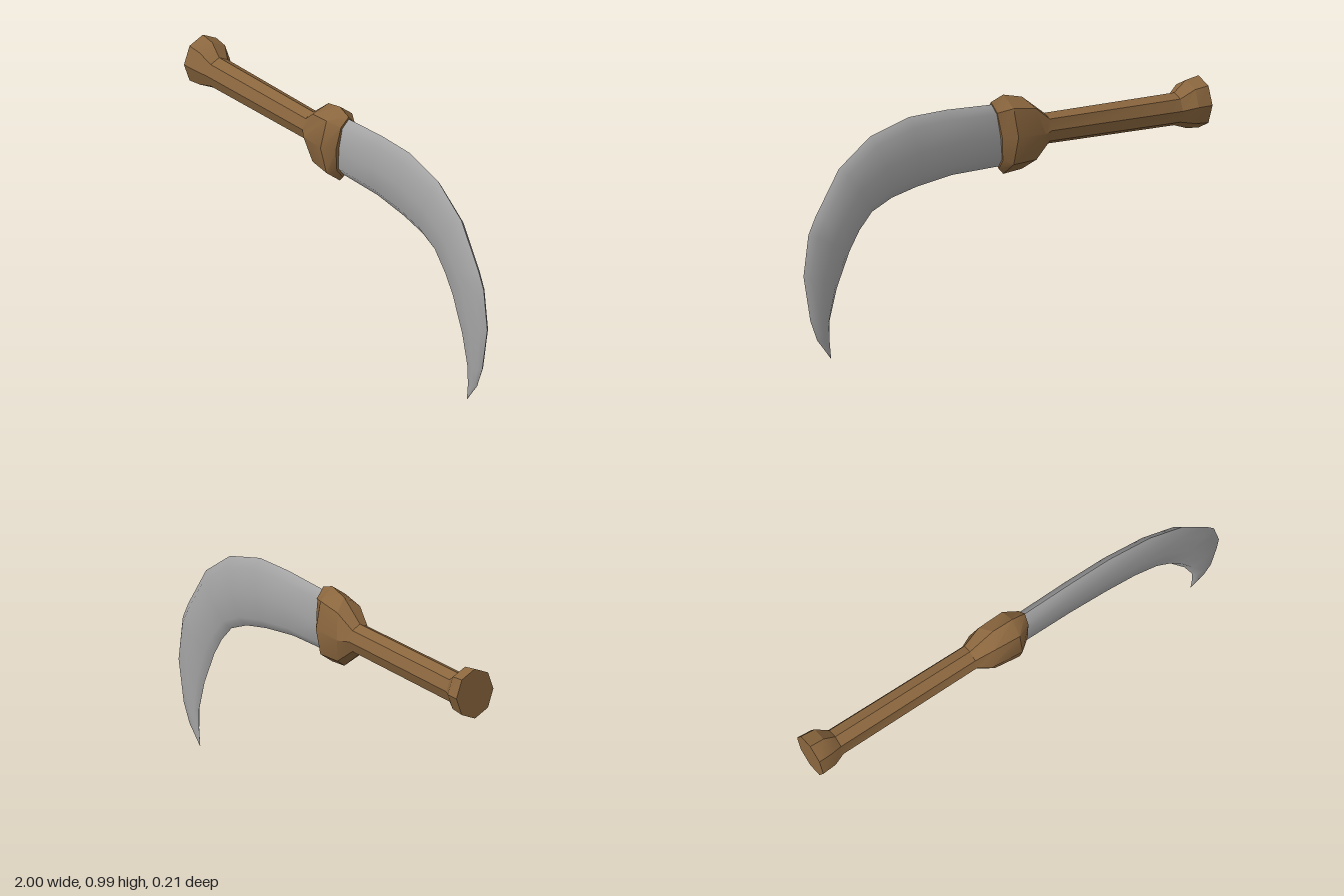
import * as THREE from 'three';
import { toCreasedNormals } from 'three/addons/utils/BufferGeometryUtils.js';

// Skin a list of rings (each running from +y towards +z, stepping along +x)
function loft(rings, closed) {
  const n = rings[0].length, pos = [], index = [];
  for (const ring of rings) for (const p of ring) pos.push(...p);
  const cols = closed ? n : n - 1;
  for (let i = 0; i < rings.length - 1; i++) {
    for (let j = 0; j < cols; j++) {
      const k = (j + 1) % n;
      const a = i * n + j, b = i * n + k, c = a + n, d = b + n;
      index.push(a, b, c, b, d, c);
    }
  }
  if (closed) {
    // flat end caps
    const e = (rings.length - 1) * n;
    for (let j = 1; j < n - 1; j++) {
      index.push(0, j + 1, j);
      index.push(e, e + j, e + j + 1);
    }
  }
  const g = new THREE.BufferGeometry();
  g.setAttribute('position', new THREE.Float32BufferAttribute(pos, 3));
  g.setIndex(index);
  return g;
}

// Eight-sided ring; tilt leans it, bow shifts its side corners along x
function octagon([x, cy, ry, cz, rz, tilt = 0, bow = 0]) {
  return Array.from({ length: 8 }, (_, k) => {
    const a = (k * Math.PI) / 4, c = Math.cos(a), s = Math.sin(a);
    return [x + tilt * c + bow * s * s, cy + ry * c, cz + rz * s];
  });
}

export function createModel() {
  const group = new THREE.Group();
  const wood = new THREE.MeshStandardMaterial({ color: 0x8a663e });
  wood.name = 'brown wood';
  const steel = new THREE.MeshStandardMaterial({ color: 0xa6a6a6 });
  steel.name = 'grey steel';

  const add = (name, geometry, material, parent = group) => {
    const mesh = new THREE.Mesh(geometry, material);
    mesh.name = name;
    parent.add(mesh);
  };

  // Handle: flared pommel, slim grip, swollen collar
  const handleRings = [
    [-1.0, 0.832, 0.109, -0.01, 0.095],
    [-0.935, 0.83, 0.1, -0.01, 0.09],
    [-0.88, 0.816, 0.068, -0.005, 0.06],
    [-0.22, 0.82, 0.065, 0.0, 0.055],
    [-0.11, 0.816, 0.15, 0.004, 0.083, 0, -0.06],
    [-0.02, 0.82, 0.165, 0.011, 0.091, 0, -0.01],
    [0.022, 0.82, 0.142, 0.012, 0.05, 0.02],
  ].map(octagon);
  add('handle', toCreasedNormals(loft(handleRings, true), 0.5), wood);

  // Blade stations: outer x, y, inner x, y, half thickness
  const stations = [
    [0.0, 0.95, -0.02, 0.69, 0.037],
    [0.27, 0.96, 0.24, 0.685, 0.038],
    [0.46, 0.955, 0.42, 0.66, 0.038],
    [0.66, 0.9, 0.55, 0.63, 0.037],
    [0.82, 0.785, 0.65, 0.585, 0.036],
    [0.94, 0.6, 0.715, 0.515, 0.033],
    [0.975, 0.53, 0.765, 0.435, 0.031],
    [1.0, 0.36, 0.83, 0.29, 0.026],
    [0.965, 0.17, 0.868, 0.155, 0.017],
    [0.93, 0.085, 0.866, 0.07, 0.009],
    [0.86, 0.0, 0.859, 0.0, 0.0005],
  ];
  // Lens section from the outer edge to the inner edge: across, thickness
  const lens = [[1, 0], [0.72, 0.8], [0, 1], [-0.72, 0.8], [-1, 0]];
  const blade = new THREE.Group();
  blade.name = 'blade';
  group.add(blade);
  for (const side of [1, -1]) {
    const rings = stations.map(([ox, oy, ix, iy, t]) =>
      lens.map(([u, w]) => [
        (ox + ix) / 2 + ((ox - ix) / 2) * u * side,
        (oy + iy) / 2 + ((oy - iy) / 2) * u * side,
        0.01 + t * w * side,
      ]));
    const g = loft(rings, false);
    g.computeVertexNormals();
    add(side > 0 ? 'bladeFront' : 'bladeBack', g, steel, blade);
  }
  return group;
}
